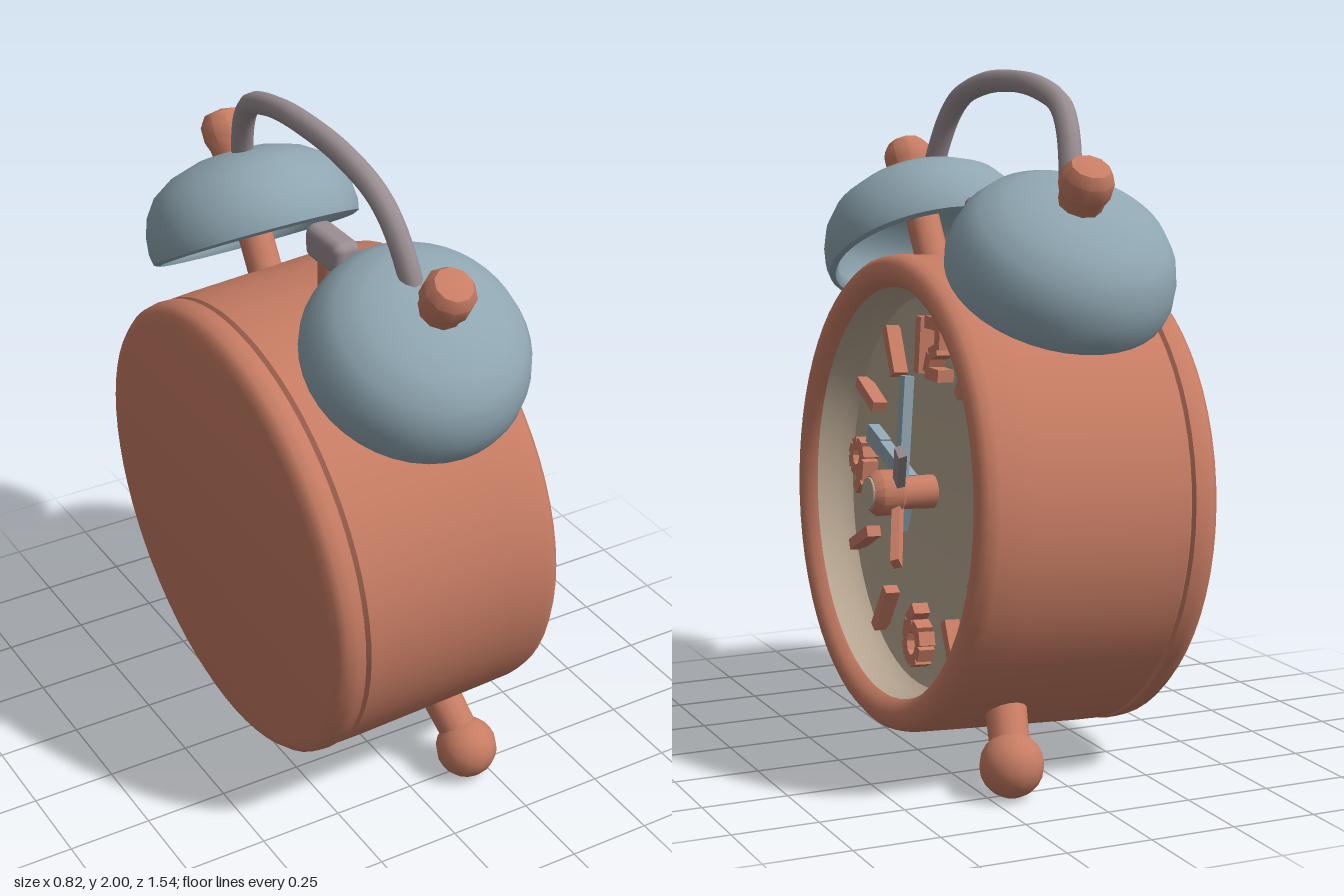
import * as THREE from 'three';
import { toCreasedNormals } from 'three/addons/utils/BufferGeometryUtils.js';
import { RoundedBoxGeometry } from 'three/addons/geometries/RoundedBoxGeometry.js';

const material = (name, color) => {
  const m = new THREE.MeshStandardMaterial({ color });
  m.name = name;
  return m;
};
const V = (p) => new THREE.Vector3(...p);
const UP = new THREE.Vector3(0, 1, 0);

export function createModel() {
  const orange = material('terracotta', 0xc87d64);
  const blue = material('dusty blue', 0x8fa6b1);
  const beige = material('beige', 0xb9a893);
  const grey = material('warm grey', 0x9a8e92);

  const add = (parent, name, geometry, mat) => {
    const mesh = new THREE.Mesh(geometry, mat);
    mesh.name = name;
    parent.add(mesh);
    return mesh;
  };
  const group = (parent, name) => {
    const g = new THREE.Group();
    g.name = name;
    parent.add(g);
    return g;
  };
  // Turned profile of [radius, height] pairs
  const lathe = (points, sides = 48) => toCreasedNormals(
    new THREE.LatheGeometry(points.map((p) => new THREE.Vector2(...p)), sides), 0.7);
  // Places a part of the given length axis between two points
  const span = (mesh, a, b) => {
    mesh.position.copy(V(a)).lerp(V(b), 0.5);
    mesh.quaternion.setFromUnitVectors(UP, V(b).sub(V(a)).normalize());
    return mesh;
  };
  const bar = (parent, name, a, b, width, depth, mat) => span(add(parent, name,
    new THREE.BoxGeometry(width, V(a).distanceTo(V(b)), depth), mat), a, b);
  const rod = (parent, name, a, b, r, mat, r2 = r) => span(add(parent, name,
    new THREE.CylinderGeometry(r2, r, V(a).distanceTo(V(b)), 14), mat), a, b);

  const model = new THREE.Group();
  model.name = 'alarmClock';
  // Built facing +z, then turned so the dial faces +x
  const clock = group(model, 'clock');
  clock.rotation.y = Math.PI / 2;

  // Body leans back slightly
  const body = group(clock, 'body');
  body.position.y = 0.767;
  body.rotation.x = -0.055;
  const shell = add(body, 'case', lathe([
    [0, -0.368], [0.64, -0.368], [0.668, -0.36], [0.685, -0.34], [0.69, -0.31], [0.688, -0.285],
    [0.676, -0.278], [0.688, -0.268], [0.69, -0.2], [0.692, 0.2], [0.692, 0.31], [0.685, 0.34],
    [0.665, 0.36], [0.635, 0.363], [0.61, 0.35], [0.597, 0.325],
  ], 64).rotateX(Math.PI / 2), orange);
  const dial = add(body, 'dial', lathe([
    [0.597, 0.325], [0.594, 0.25], [0.575, 0.215], [0.53, 0.2], [0, 0.2],
  ], 64).rotateX(Math.PI / 2), beige);
  shell.scale.x = dial.scale.x = 1.03;

  // Hour ticks: centre and angle, mirrored left and right
  const ticks = [[0.275, 0.38, 1.03], [0.45, 0.225, 0.4], [0.45, -0.225, -0.46], [0.26, -0.405, -1.03]];
  for (const [x, y, angle] of ticks) {
    for (const s of [-1, 1]) {
      const dx = Math.cos(angle) * 0.078, dy = Math.sin(angle) * 0.078;
      bar(body, 'hourTick', [s * (x - dx), y - dy, 0.215], [s * (x + dx), y + dy, 0.215], 0.034, 0.06, orange);
    }
  }

  // Quarter markers, built from short raised strokes
  const ring = (cx, cy, rx, ry) => Array.from({ length: 9 }, (_, i) =>
    [cx + rx * Math.cos(i * Math.PI / 4), cy + ry * Math.sin(i * Math.PI / 4)]);
  const markers = {
    topMarker: [
      [[-0.045, 0.51], [-0.045, 0.345]],
      [[0, 0.5], [0.095, 0.5], [0.095, 0.43], [0.04, 0.41], [0.02, 0.355], [0.115, 0.355]]],
    rightMarker: [
      [[0.42, 0.06], [0.54, 0.06], [0.54, -0.06], [0.43, -0.06]],
      [[0.47, 0], [0.54, 0]]],
    bottomMarker: [
      ring(0.01, -0.45, 0.05, 0.055),
      [[-0.04, -0.44], [-0.03, -0.39], [0.015, -0.345]]],
    leftMarker: [
      ring(-0.485, 0.025, 0.045, 0.045),
      [[-0.44, 0.02], [-0.445, -0.04], [-0.485, -0.075]]],
  };
  for (const [name, strokes] of Object.entries(markers)) {
    const marker = group(body, name);
    for (const line of strokes) {
      for (let i = 1; i < line.length; i++) {
        bar(marker, 'stroke', [...line[i - 1], 0.215], [...line[i], 0.215], 0.036, 0.07, orange);
      }
    }
  }

  // Hands and hub
  bar(body, 'minuteHand', [0, 0, 0.3], [-0.015, 0.34, 0.29], 0.038, 0.03, blue);
  bar(body, 'hourHand', [0, 0.03, 0.27], [-0.25, 0.11, 0.27], 0.045, 0.035, blue);
  bar(body, 'hourHandTip', [-0.21, 0.097, 0.27], [-0.31, 0.128, 0.27], 0.056, 0.035, blue);
  bar(body, 'handTail', [0, 0, 0.28], [-0.04, -0.11, 0.28], 0.05, 0.03, blue);
  bar(body, 'alarmHand', [0.03, 0.025, 0.32], [0.235, 0.16, 0.405], 0.036, 0.025, grey);
  bar(body, 'secondHand', [0.03, -0.03, 0.32], [0.215, -0.165, 0.395], 0.034, 0.025, orange);
  add(body, 'hub', lathe([
    [0.05, 0.19], [0.05, 0.3], [0.068, 0.315], [0.068, 0.375], [0.05, 0.398], [0, 0.402],
  ], 16).rotateX(Math.PI / 2), orange);
  add(body, 'hubCap', lathe([[0.048, 0.398], [0.046, 0.404], [0, 0.407]], 16).rotateX(Math.PI / 2), beige);

  for (const s of [-1, 1]) {
    // Bell with its post and finial
    const bell = group(clock, s < 0 ? 'leftBell' : 'rightBell');
    bell.position.set(s * 0.44, 1.43, 0.012);
    bell.rotation.z = -s * 0.557;
    add(bell, 'dome', lathe([
      [0, 0.23], [0.15, 0.21], [0.23, 0.17], [0.28, 0.11], [0.29, 0.03], [0.29, 0.005],
      [0.302, -0.01], [0.318, -0.003], [0.324, 0.03], [0.319, 0.08], [0.302, 0.135],
      [0.265, 0.188], [0.2, 0.23], [0.11, 0.257], [0, 0.265],
    ], 40), blue);
    rod(bell, 'post', [0, -0.24, 0], [0, 0.23, 0], 0.052, orange);
    add(bell, 'finial', lathe([
      [0.06, 0.24], [0.064, 0.28], [0.075, 0.31], [0.075, 0.355], [0.055, 0.385], [0, 0.395],
    ], 10), orange);

    // Foot with ball end
    const foot = group(clock, s < 0 ? 'leftFoot' : 'rightFoot');
    rod(foot, 'ankle', [s * 0.52, 0.1, 0.185], [s * 0.36, 0.3, 0.14], 0.055, orange, 0.062);
    add(foot, 'ball', new THREE.SphereGeometry(0.092, 14, 10), orange).position.set(s * 0.52, 0.093, 0.185);
  }

  // Carrying handle arching between the bells
  const half = [[0.485, 1.64, -0.005], [0.455, 1.75, -0.02], [0.405, 1.85, -0.035], [0.34, 1.91, -0.045], [0.18, 1.955, -0.05]];
  const arch = [...half.map(([x, y, z]) => [-x, y, z]), [0, 1.967, -0.052], ...half.reverse()];
  add(clock, 'handle', new THREE.TubeGeometry(
    new THREE.CatmullRomCurve3(arch.map(V)), 48, 0.033, 10), grey);

  // Stop button on its stem
  rod(clock, 'buttonStem', [0, 1.4, 0.02], [0, 1.56, 0.02], 0.042, orange);
  add(clock, 'stopButton', new RoundedBoxGeometry(0.19, 0.105, 0.085, 2, 0.028), grey).position.set(0, 1.58, 0.02);

  return model;
}
